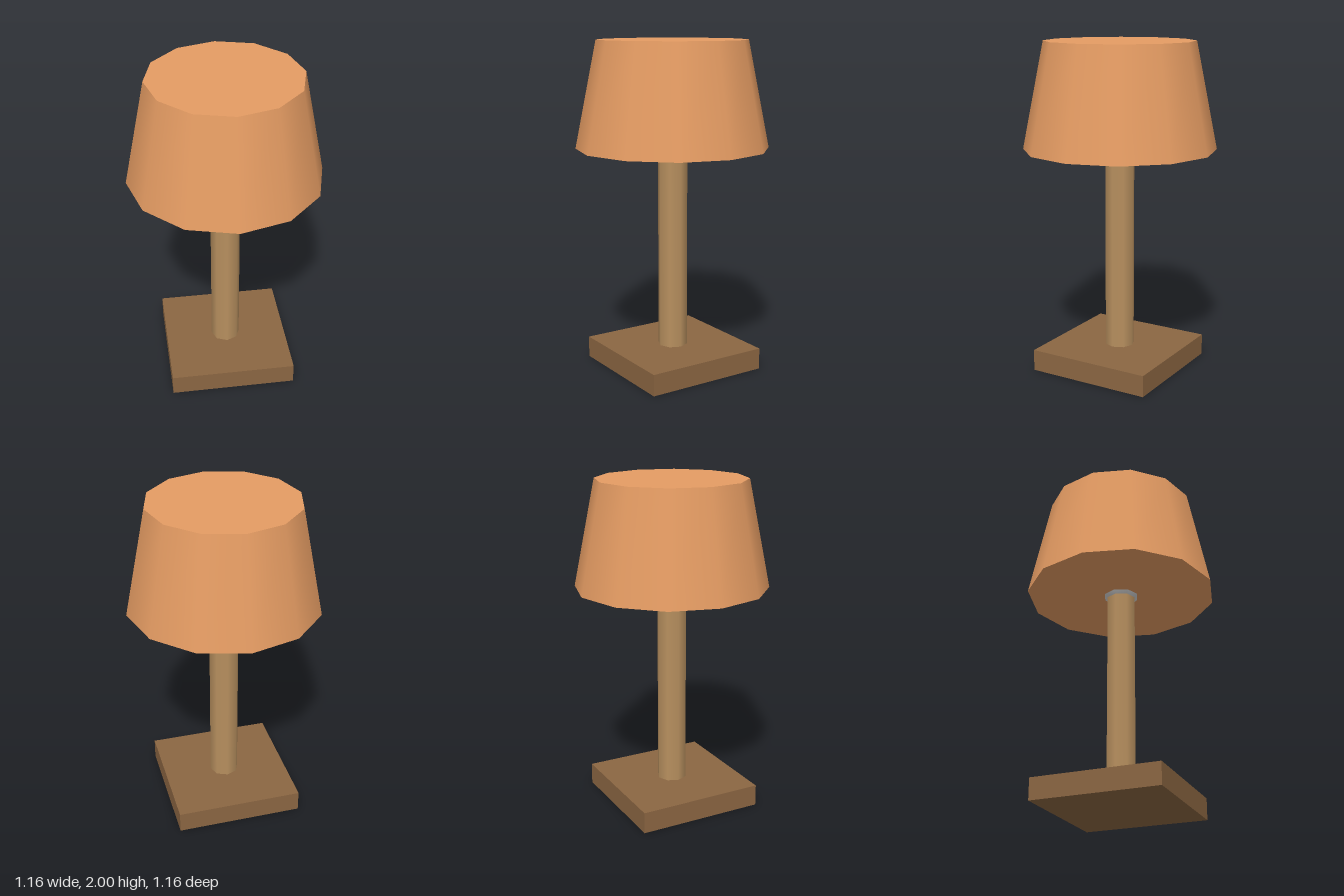
import * as THREE from 'three';

export function createModel() {
  const lamp = new THREE.Group();
  lamp.name = 'tableLamp';

  const add = (name, geometry, color, y) => {
    const mesh = new THREE.Mesh(geometry, new THREE.MeshStandardMaterial({ color }));
    mesh.name = name;
    mesh.position.y = y;
    lamp.add(mesh);
  };

  // Square foot
  add('base', new THREE.BoxGeometry(0.77, 0.13, 0.77), 0x8b6642, 0.065);
  // Eight-sided smooth post
  add('post', new THREE.CylinderGeometry(0.09, 0.09, 1.21, 8), 0xb8905f, 0.735);
  // Low-poly bulb, mostly inside the shade
  add('bulb', new THREE.SphereGeometry(0.13, 8, 6), 0xcccccc, 1.43);
  // Closed, tapered twelve-sided shade
  add('shade', new THREE.CylinderGeometry(0.45, 0.58, 0.64, 12), 0xe59c63, 1.68);

  return lamp;
}
